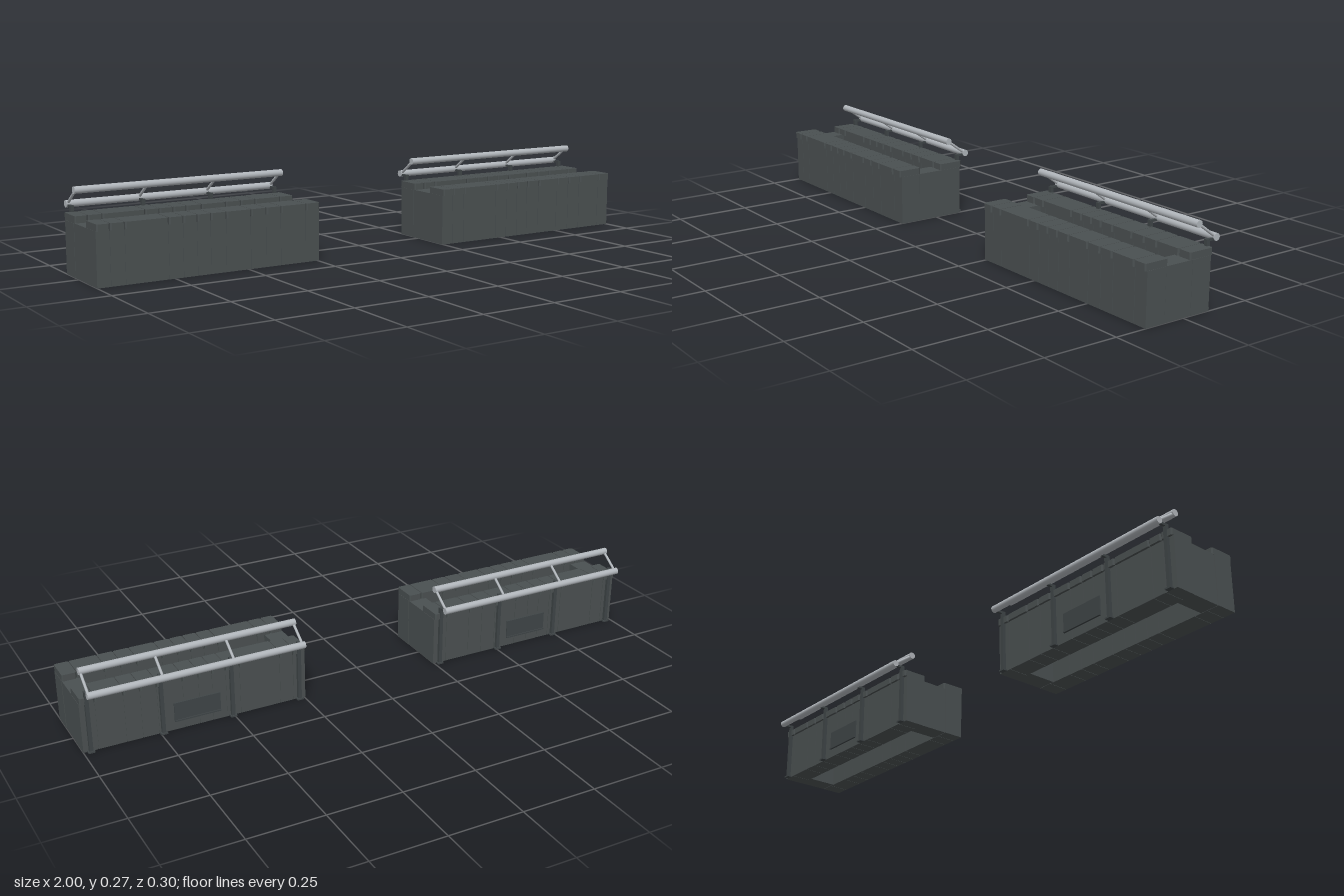
import * as THREE from 'three';

const stone = new THREE.MeshStandardMaterial({ color: 0x4a5051 });
stone.name = 'dark stone';
const steel = new THREE.MeshStandardMaterial({ color: 0xb0b5ba });
steel.name = 'pale steel';
const iron = new THREE.MeshStandardMaterial({ color: 0x3f4547 });
iron.name = 'dark iron';

// Box given by its min and max corners
function block(name, mat, x0, x1, y0, y1, z0, z1) {
  const m = new THREE.Mesh(new THREE.BoxGeometry(x1 - x0, y1 - y0, z1 - z0), mat);
  m.position.set((x0 + x1) / 2, (y0 + y1) / 2, (z0 + z1) / 2);
  m.name = name;
  return m;
}

// Round bar between two points
function bar(name, a, b, r, sides) {
  const d = b.clone().sub(a);
  const m = new THREE.Mesh(new THREE.CylinderGeometry(r, r, d.length(), sides), steel);
  m.position.copy(a).add(b).multiplyScalar(0.5);
  m.quaternion.setFromUnitVectors(new THREE.Vector3(0, 1, 0), d.normalize());
  m.name = name;
  return m;
}

// Coping stone with chamfered corners in plan
function coping(x0, x1, z0, z1) {
  const c = 0.004;
  const s = new THREE.Shape([
    [x0 + c, -z0], [x1 - c, -z0], [x1, -z0 - c], [x1, -z1 + c],
    [x1 - c, -z1], [x0 + c, -z1], [x0, -z1 + c], [x0, -z0 - c],
  ].map(([x, y]) => new THREE.Vector2(x, y)));
  const g = new THREE.ExtrudeGeometry(s, { depth: 0.022, bevelEnabled: false });
  g.rotateX(-Math.PI / 2);
  const m = new THREE.Mesh(g, stone);
  m.position.y = 0.168;
  m.name = 'copingStone';
  return m;
}

const W = 0.755; // length of one planter
const seams = [0, 0.043, 0.09, 0.23, 0.278, 0.325, 0.37, 0.423, 0.508, 0.562, 0.615, 0.706, W];

function planter() {
  const g = new THREE.Group();
  const gap = 0.0008;

  // Long walls: a solid core faced with narrow slabs
  for (const [name, z0, z1] of [['frontWall', 0.072, 0.143], ['backWall', -0.1, -0.029]]) {
    const wall = new THREE.Group();
    wall.name = name;
    wall.add(block('core', stone, 0.002, W - 0.002, 0.001, 0.167, z0 + 0.002, z1 - 0.002));
    for (let i = 0; i < seams.length - 1; i++) {
      wall.add(block('slab', stone, seams[i] + (i ? gap : 0), seams[i + 1] - (i < seams.length - 2 ? gap : 0),
        0, 0.168, z0, z1));
    }
    g.add(wall);
  }

  // Short end walls
  g.add(block('endWall', stone, 0.001, 0.065, 0, 0.168, -0.029, 0.0705));
  g.add(block('endWall', stone, W - 0.065, W - 0.001, 0, 0.168, -0.029, 0.0705));

  // Coping along both long walls
  for (let i = 0; i < seams.length - 1; i++) {
    const a = seams[i] + 0.001, b = seams[i + 1] - 0.001;
    g.add(coping(a, b, 0.065, 0.15));
    g.add(coping(a, b, -0.108, -0.02));
  }

  // Posts with foot plates, and sloping struts between the rails
  const top = [0.262, -0.067], low = [0.211, -0.138];
  for (const x of [0.024, 0.26, 0.496, 0.732]) {
    g.add(block('post', iron, x - 0.006, x + 0.006, 0, 0.21, -0.111, -0.0995));
    g.add(block('postFoot', iron, x - 0.011, x + 0.011, 0, 0.005, -0.115, -0.099));
    g.add(bar('strut', new THREE.Vector3(x, ...low), new THREE.Vector3(x, ...top), 0.0045, 10));
    // Short bracket from the post head to the lower rail
    g.add(block('bracket', iron, x - 0.004, x + 0.004, 0.203, 0.21, -0.135, -0.108));
  }

  // Two rails
  for (const p of [top, low]) {
    g.add(bar('rail', new THREE.Vector3(0.017, ...p), new THREE.Vector3(0.738, ...p), 0.0115, 20));
  }

  // Plain plaque at the back, with a ledge below
  g.add(block('plaque', iron, 0.3, 0.456, 0.035, 0.095, -0.104, -0.0995));
  g.add(block('plaqueLedge', iron, 0.3, 0.456, 0.03, 0.035, -0.107, -0.0995));
  return g;
}

export function createModel() {
  const model = new THREE.Group();
  model.name = 'planterPair';
  for (const [name, x] of [['rightPlanter', -1], ['leftPlanter', 1 - W]]) {
    const p = planter();
    p.name = name;
    p.position.x = x;
    model.add(p);
  }
  return model;
}
